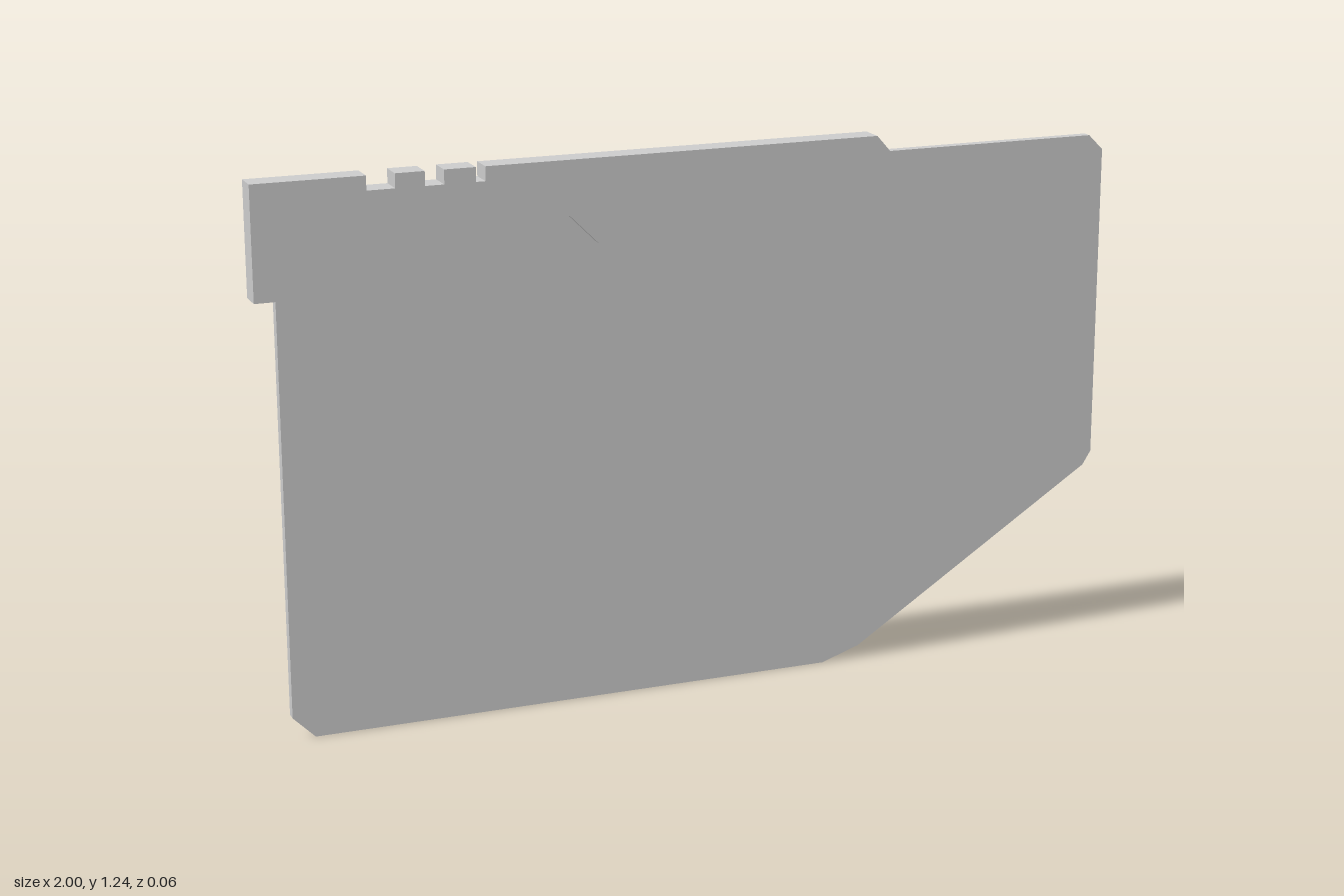
import * as THREE from 'three';

// Flat plate cut from an outline, centred on z = 0
function plate(name, points, depth, material) {
  const shape = new THREE.Shape(points.map(([x, y]) => new THREE.Vector2(x, y)));
  const geometry = new THREE.ExtrudeGeometry(shape, { depth, bevelEnabled: false });
  geometry.translate(0, 0, -depth / 2);
  const mesh = new THREE.Mesh(geometry, material);
  mesh.name = name;
  return mesh;
}

export function createModel() {
  const group = new THREE.Group();
  group.name = 'slidingPanel';
  const material = new THREE.MeshStandardMaterial({ color: 0xcccccc, flatShading: true });

  // Thin panel with clipped corners and a slanted lower edge
  const panel = [
    [-0.95, 0.05], [-0.9, 0], [0.31, 0], [0.4, 0.03], [0.98, 0.405],
    [1, 0.437], [1, 1.162], [0.965, 1.197], [-0.95, 1.197],
  ];
  group.add(plate('panel', panel, 0.023, material));

  // Thicker top rail, with three notches in its upper edge
  const top = 1.237, notchFloor = 1.205;
  const rail = [
    [-1, 0.985], [-0.89, 0.985], [-0.89, 1.115], [-0.305, 1.115],
    [-0.24, 1.05], [0.585, 1.05], [0.42, top],
  ];
  for (const [left, right] of [[-0.513, -0.492], [-0.625, -0.583], [-0.752, -0.69]]) {
    rail.push([right, top], [right, notchFloor], [left, notchFloor], [left, top]);
  }
  rail.push([-1, top]);
  group.add(plate('topRail', rail, 0.058, material));

  return group;
}
